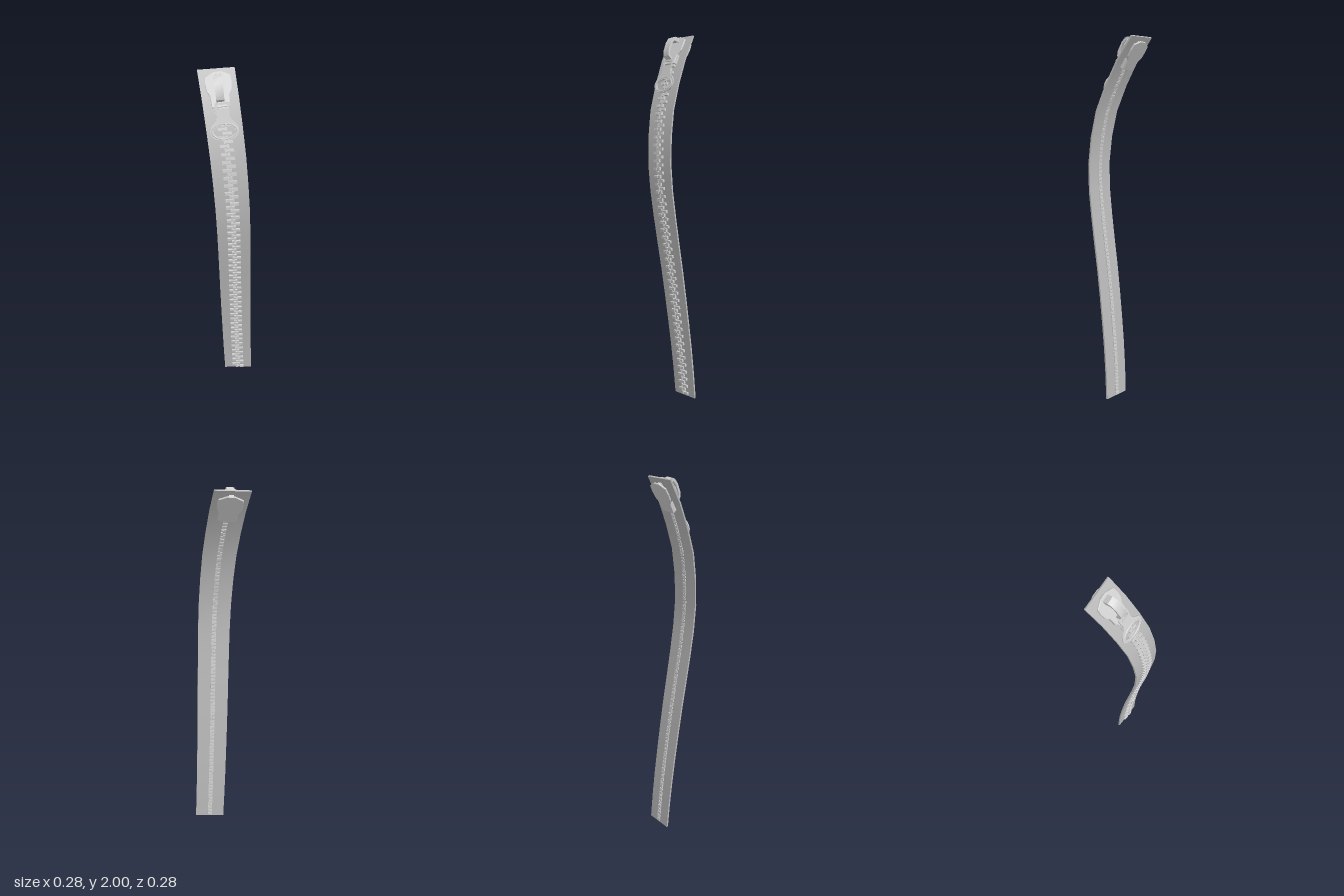
import * as THREE from 'three';
import { mergeGeometries, toCreasedNormals } from 'three/addons/utils/BufferGeometryUtils.js';

const V = (x, y, z) => new THREE.Vector3(x, y, z);

// Centre line of the fastener, from the bottom end to the top end
const line = new THREE.CatmullRomCurve3(
  [[0.004, -0.022], [0.2, -0.01], [0.4, 0.01], [0.7, 0.047], [1, 0.092], [1.2, 0.116], [1.32, 0.12],
    [1.45, 0.109], [1.6, 0.08], [1.8, -0.002], [1.9, -0.056], [1.993, -0.118]]
    .map(([y, z]) => V(0.055 - 0.052 * y, y, z)));
const LENGTH = line.getLength();

// Frame on the line: x across the tape, y along it, z out of its face
function frameAt(s) {
  const t = THREE.MathUtils.clamp(s / LENGTH, 0, 1);
  const along = line.getTangentAt(t);
  const across = V(0.98, 0.02 + 0.03 * t, 0.2 - 0.06 * t).normalize();
  const out = across.clone().cross(along).normalize();
  return new THREE.Matrix4().makeBasis(across, along, out).setPosition(line.getPointAt(t));
}

// Arc length at which the line reaches height y
function lengthAtHeight(y) {
  let a = 0, b = 1;
  for (let i = 0; i < 30; i++) {
    const m = (a + b) / 2;
    if (line.getPointAt(m).y < y) a = m; else b = m;
  }
  return a * LENGTH;
}

// Flat strip bent along the line, slightly wider at the top
function tapeGeometry() {
  const geo = new THREE.BoxGeometry(1, LENGTH, 0.009, 2, 14, 1);
  const p = geo.attributes.position, v = V(0, 0, 0);
  for (let i = 0; i < p.count; i++) {
    v.fromBufferAttribute(p, i);
    const s = v.y + LENGTH / 2;
    v.x *= 0.164 + 0.02 * s / LENGTH;
    v.y = 0;
    v.applyMatrix4(frameAt(s));
    p.setXYZ(i, v.x, v.y, v.z);
  }
  geo.computeVertexNormals();
  return geo;
}

const polygon = pts => new THREE.Shape(pts.map(([x, y]) => new THREE.Vector2(x, y)));

// Symmetric outline from its right half, listed from bottom to top
const mirrored = half => polygon([...half, ...half.map(([x, y]) => [-x, y]).reverse()]);

function extrude(shape, depth, bevel = 0) {
  return new THREE.ExtrudeGeometry(shape, {
    depth, bevelEnabled: bevel > 0, bevelSize: bevel, bevelThickness: bevel, bevelSegments: 1, curveSegments: 20,
  });
}

export function createModel() {
  const root = new THREE.Group();
  const fabric = new THREE.MeshStandardMaterial({ color: 0xbababa });
  fabric.name = 'greyFabric';
  const metal = new THREE.MeshStandardMaterial({ color: 0xd0d0d0 });
  metal.name = 'paleMetal';

  const add = (parent, name, geo, mat, x = 0, y = 0, z = 0) => {
    const mesh = new THREE.Mesh(geo, mat);
    mesh.name = name;
    mesh.position.set(x, y, z);
    parent.add(mesh);
    return mesh;
  };
  const placed = (name, matrix) => {
    const g = new THREE.Group();
    g.name = name;
    g.applyMatrix4(matrix);
    root.add(g);
    return g;
  };

  add(root, 'tape', tapeGeometry(), fabric);

  // Interlocking teeth: wide bars in front, only the heads show behind
  const pitch = 0.042, top = lengthAtHeight(1.85);
  for (const side of [1, -1]) {
    const teeth = [];
    for (let s = 0.016 + (side > 0 ? 0 : pitch / 2); s < top; s += pitch) {
      const base = new THREE.BoxGeometry(0.024, 0.015, 0.017).translate(side * 0.022, 0, 0.006);
      const neck = new THREE.BoxGeometry(0.016, 0.011, 0.022).translate(side * 0.004, 0, 0.001);
      const head = new THREE.BoxGeometry(0.011, 0.018, 0.025).translate(side * -0.007, 0, 0.002);
      teeth.push(mergeGeometries([base, neck, head]).applyMatrix4(frameAt(s)));
    }
    add(root, side > 0 ? 'leftTeeth' : 'rightTeeth', mergeGeometries(teeth), metal);
  }

  // Slider: two shield plates joined by a wedge, with rims along the narrow end
  const slider = placed('slider', frameAt(lengthAtHeight(1.908)));
  const shield = mirrored([[0.042, -0.085], [0.046, -0.03], [0.06, -0.005], [0.064, 0.03], [0.06, 0.062], [0.02, 0.083]]);
  const plate = extrude(shield, 0.006, 0.002);
  add(slider, 'frontPlate', plate, metal, 0, 0, 0.018);
  add(slider, 'backPlate', plate, metal, 0, 0, -0.032);
  add(slider, 'wedge', new THREE.BoxGeometry(0.024, 0.05, 0.048), metal, 0, 0.05, -0.003);
  for (const side of [1, -1]) {
    for (const face of [1, -1]) {
      add(slider, 'rim', new THREE.BoxGeometry(0.006, 0.055, 0.016), metal, side * 0.042, -0.056, face * 0.015 - 0.003);
    }
  }

  // Arched bridge that holds the pull
  const arch = polygon([[0.07, 0.025], [0.066, 0.055], [0.05, 0.069], [0.02, 0.074], [-0.035, 0.068], [-0.055, 0.056],
    [-0.062, 0.025], [-0.05, 0.025], [-0.044, 0.048], [-0.03, 0.056], [0.018, 0.062], [0.042, 0.056], [0.05, 0.025]]);
  const bridge = extrude(arch, 0.04);
  // Turn the profile so its x runs along the tape and its y points outward
  bridge.applyMatrix4(new THREE.Matrix4().makeBasis(V(0, 1, 0), V(0, 0, 1), V(1, 0, 0)));
  add(slider, 'bridge', toCreasedNormals(bridge, 0.7), metal, -0.02, 0, 0);

  // Pull tab with a flared end, an oval opening and a slot for the bridge
  const pull = placed('pullTab', frameAt(lengthAtHeight(1.76)));
  const outline = new THREE.Shape();
  outline.moveTo(-0.036, 0.106);
  outline.bezierCurveTo(-0.036, 0.07, -0.022, 0.045, -0.045, 0.016);
  outline.bezierCurveTo(-0.078, -0.01, -0.082, -0.05, -0.045, -0.07);
  outline.bezierCurveTo(-0.02, -0.082, 0.02, -0.082, 0.045, -0.07);
  outline.bezierCurveTo(0.082, -0.05, 0.078, -0.01, 0.045, 0.016);
  outline.bezierCurveTo(0.022, 0.045, 0.036, 0.07, 0.036, 0.106);
  outline.closePath();
  outline.holes.push(new THREE.Path().absellipse(0, -0.034, 0.053, 0.03, 0, Math.PI * 2));
  outline.holes.push(polygon([[-0.024, 0.074], [0.024, 0.074], [0.024, 0.096], [-0.024, 0.096]]));
  const tab = add(pull, 'tab', toCreasedNormals(extrude(outline, 0.006), 0.7), metal, 0, 0, 0.022);
  tab.rotation.x = 0.09;

  // Raised oval rim around the opening
  const rim = new THREE.TorusGeometry(0.061, 0.005, 8, 40).scale(1, 0.62, 0.7);
  add(tab, 'openingRim', rim, metal, 0, -0.034, 0.005);

  return root;
}
